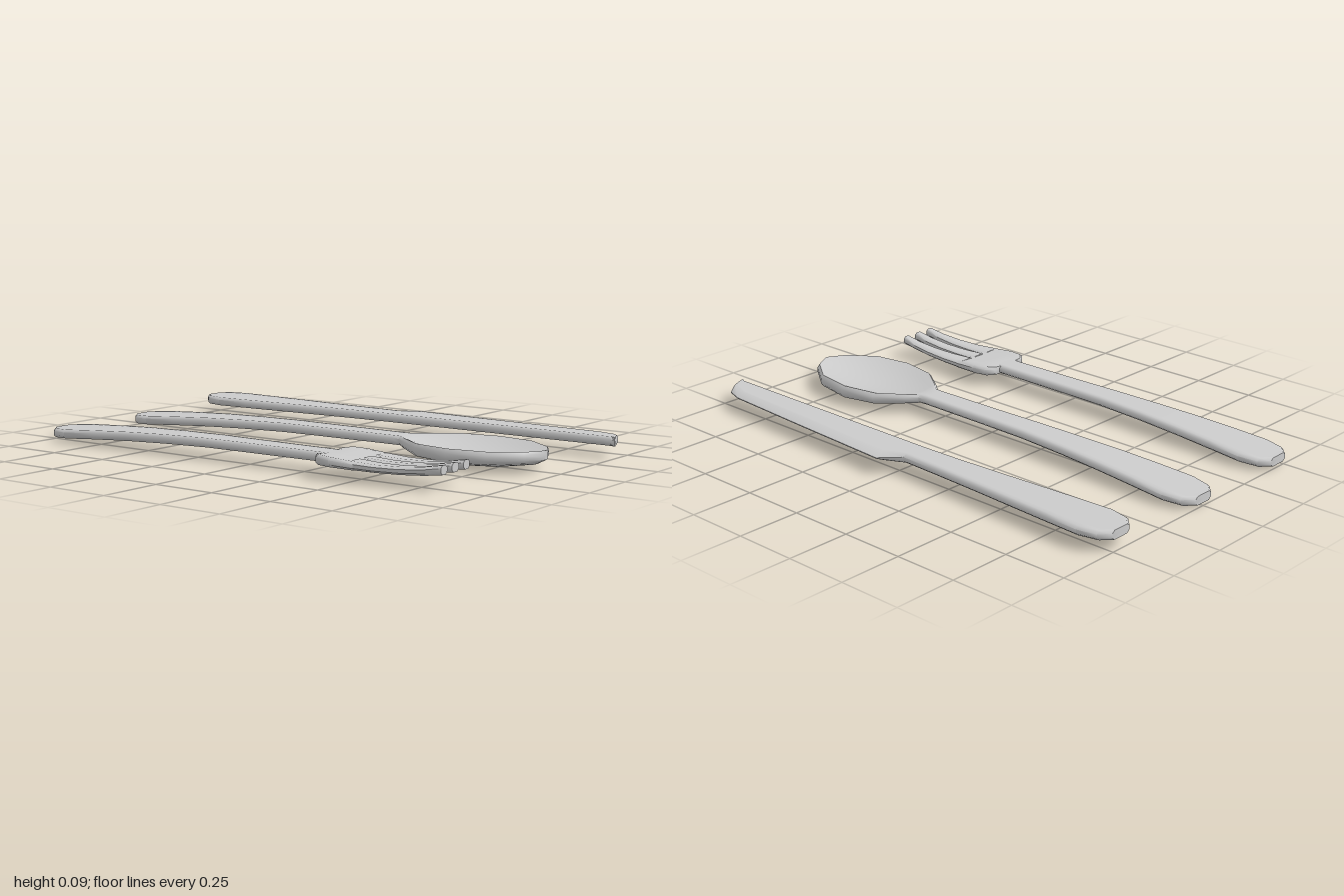
import * as THREE from 'three';
import { toCreasedNormals } from 'three/addons/utils/BufferGeometryUtils.js';

const material = new THREE.MeshStandardMaterial({ color: 0xcccccc });
const STEPS = 8; // divisions across the width of a section

// Closed cross-section with softened sides.
// [z, x0, x1, bottom, top, belly, dish, rightBevel]
function ring([z, x0, x1, bottom, top, belly = 0, dish = 0, bevel = 0.012]) {
  const w = x1 - x0, h = top - bottom;
  const bl = Math.min(0.012, w / 4), br = Math.min(bevel, w / 4);
  const pts = [];
  const across = (i) => {
    const t = i / STEPS, u = 2 * t - 1;
    return [x0 + bl + (w - bl - br) * t, 1 - u * u];
  };
  for (let i = STEPS; i >= 0; i--) {
    const [x, k] = across(i);
    pts.push([x, top - dish * k, z]);
  }
  pts.push([x0, top - h * 0.28, z], [x0, bottom + h * 0.28, z]);
  for (let i = 0; i <= STEPS; i++) {
    const [x, k] = across(i);
    pts.push([x, bottom - belly * k, z]);
  }
  const side = bevel > 0.02 ? 0.45 : 0.28; // wide bevels meet in a thin edge
  pts.push([x1, bottom + h * side, z], [x1, top - h * side, z]);
  return pts;
}

// Skin a row of sections running towards +z, closed at both ends.
function loft(name, sections) {
  const rings = sections.map(ring), n = rings[0].length;
  const position = rings.flat(2), index = [];
  for (let i = 0; i < rings.length - 1; i++) {
    for (let j = 0; j < n; j++) {
      const k = (j + 1) % n, a = i * n, b = a + n;
      index.push(a + j, a + k, b + k, a + j, b + k, b + j);
    }
  }
  [0, rings.length - 1].forEach((r, end) => {
    const [z, x0, x1, bottom, top, belly = 0, dish = 0] = sections[r];
    const c = position.length / 3;
    position.push((x0 + x1) / 2, (bottom - belly + top - dish) / 2, z);
    for (let j = 0; j < n; j++) {
      const k = (j + 1) % n;
      index.push(c, r * n + (end ? j : k), r * n + (end ? k : j));
    }
  });
  const geometry = new THREE.BufferGeometry();
  geometry.setAttribute('position', new THREE.Float32BufferAttribute(position, 3));
  geometry.setIndex(index);
  const mesh = new THREE.Mesh(toCreasedNormals(geometry, 0.9), material);
  mesh.name = name;
  return mesh;
}

// Shared handle outline: [z, half width, drop]
const HANDLE = [
  [-1, 0.045, 0.033], [-0.965, 0.083, 0.032], [-0.89, 0.1, 0.028], [-0.75, 0.093, 0.019],
  [-0.58, 0.083, 0.01], [-0.4, 0.072, 0.004], [-0.2, 0.062, 0], [0, 0.057, 0], [0.31, 0.053, 0],
];
const handle = (droop) => HANDLE.map(([z, w, drop]) =>
  [z, -w, w, 0.045 - drop * droop, 0.08 - drop * droop]);

function makeFork() {
  const fork = new THREE.Group();
  fork.name = 'fork';
  fork.add(loft('forkHandle', [...handle(1), [0.36, -0.053, 0.053, 0.045, 0.08]]));
  // Palm with rounded shoulders
  const palm = [
    [0.335, 0.085, 0.048, 0.081], [0.36, 0.115, 0.046, 0.084],
    [0.42, 0.125, 0.045, 0.081], [0.52, 0.119, 0.043, 0.074],
  ];
  fork.add(loft('forkPalm', palm.map(([z, w, b, t]) => [z, -w, w, b, t, 0, 0.004])));
  // Three tapering tines that lift at the tips
  const curve = [[0.5, 0.044, 0.075], [0.6, 0.043, 0.071], [0.7, 0.045, 0.073],
    [0.79, 0.051, 0.081], [0.86, 0.06, 0.093]];
  const tine = (name, root, tip) => loft(name, curve.map(([z, b, t]) => {
    const s = (z - 0.5) / 0.36;
    return [z, root[0] + (tip[0] - root[0]) * s, root[1] + (tip[1] - root[1]) * s, b, t];
  }));
  fork.add(
    tine('rightTine', [-0.12, -0.038], [-0.088, -0.05]),
    tine('middleTine', [-0.033, 0.033], [-0.021, 0.021]),
    tine('leftTine', [0.038, 0.12], [0.05, 0.088]),
  );
  return fork;
}

function makeSpoon() {
  const spoon = new THREE.Group();
  spoon.name = 'spoon';
  // Handle flowing into a dished bowl: [z, half width, bottom, belly, dish]
  const bowl = [
    [0.345, 0.055, 0.045, 0, 0], [0.385, 0.09, 0.042, 0.008, 0.01],
    [0.49, 0.165, 0.034, 0.022, 0.032], [0.64, 0.192, 0.03, 0.029, 0.04],
    [0.79, 0.167, 0.033, 0.023, 0.032], [0.9, 0.088, 0.038, 0.012, 0.01],
    [0.94, 0.012, 0.046, 0, 0],
  ];
  spoon.add(loft('spoonHandleAndBowl', [
    ...handle(1), ...bowl.map(([z, w, b, belly, dish]) => [z, -w, w, b, 0.08, belly, dish]),
  ]));
  return spoon;
}

function makeKnife() {
  const knife = new THREE.Group();
  knife.name = 'knife';
  // Flat handle, then a blade with a straight back and a sharpened edge
  const blade = [
    [-0.04, 0.056, 0.012], [0.04, 0.118, 0.035], [0.5, 0.092, 0.035],
    [0.88, 0.068, 0.03], [0.95, 0.045, 0.025], [0.975, 0.01, 0.012], [0.995, -0.05, 0.01],
  ];
  knife.add(loft('knifeHandleAndBlade', [
    ...handle(0).slice(0, 7),
    ...blade.map(([z, x1, bevel]) => [z, -0.058, x1, 0.045, 0.08, 0, 0, bevel]),
  ]));
  return knife;
}

export function createModel() {
  const model = new THREE.Group();
  model.name = 'cutlerySet';
  const fork = makeFork(), knife = makeKnife();
  fork.position.x = -0.463;
  knife.position.x = 0.461;
  model.add(fork, makeSpoon(), knife);
  return model;
}
